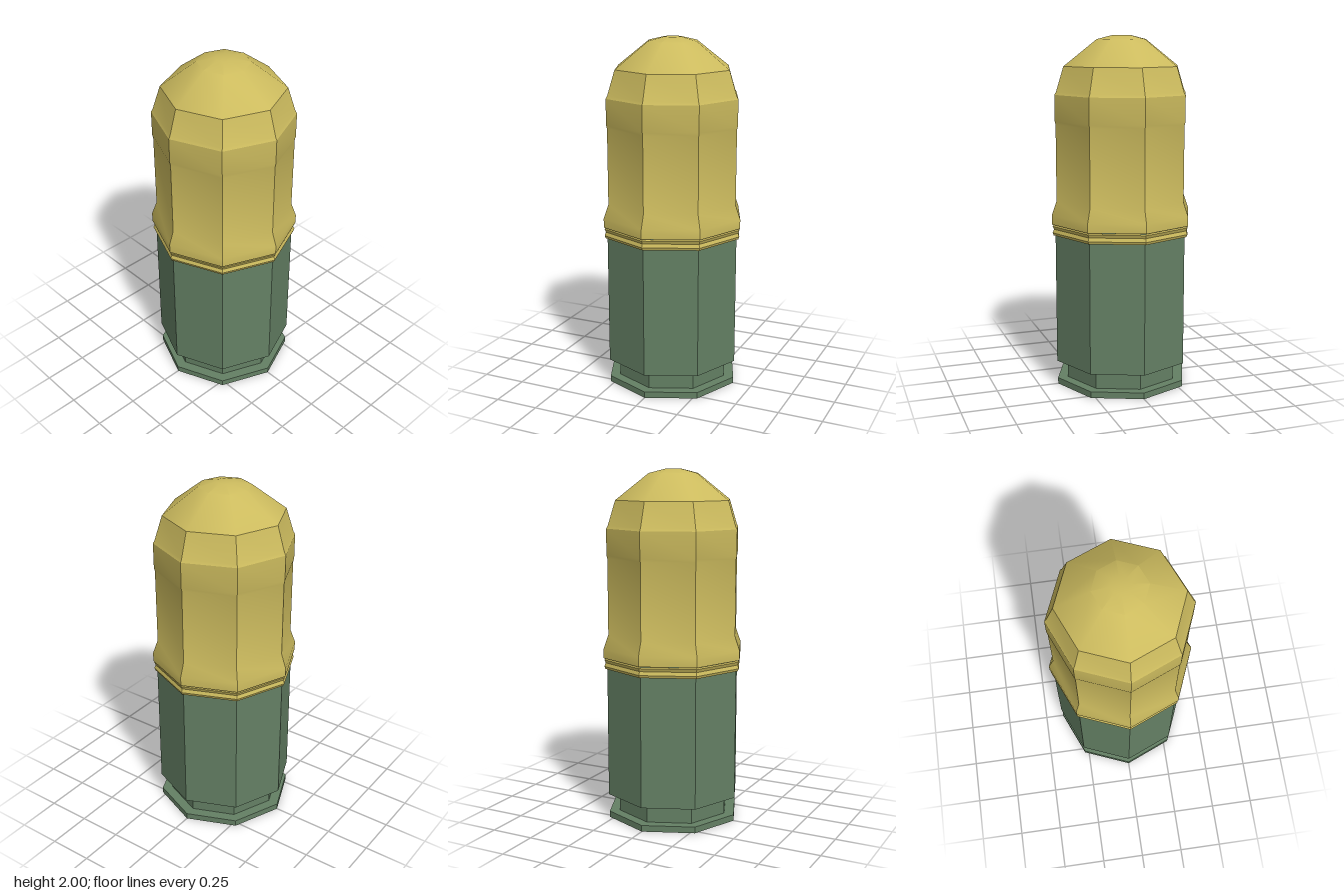
import * as THREE from 'three';
import { toCreasedNormals } from 'three/addons/utils/BufferGeometryUtils.js';

const CREASE = THREE.MathUtils.degToRad(30);

// Eight-sided turned part; profile is [radius, height] from bottom to top.
// Corners between sides stay sharp, gentle changes along the profile are smooth.
function turned(name, profile, material) {
  const points = profile.map(([r, y]) => new THREE.Vector2(r, y));
  const geometry = toCreasedNormals(new THREE.LatheGeometry(points, 8), CREASE);
  const mesh = new THREE.Mesh(geometry, material);
  mesh.name = name;
  return mesh;
}

export function createModel() {
  const brass = new THREE.MeshStandardMaterial({ color: 0xccbb5e });
  const green = new THREE.MeshStandardMaterial({ color: 0x648064 });

  // Case: base rim, extraction groove and main wall
  const casing = new THREE.Group();
  casing.name = 'casing';
  casing.add(
    turned('baseRim', [[0, 0], [0.39, 0], [0.39, 0.036], [0.33, 0.036]], green),
    turned('extractorGroove', [[0.33, 0.036], [0.33, 0.14]], green),
    turned('caseWall', [[0.33, 0.14], [0.394, 0.14], [0.394, 0.89], [0, 0.89]], green),
  );

  // Projectile: driving band, waisted body, tapered shoulder and domed nose
  const projectile = new THREE.Group();
  projectile.name = 'projectile';
  projectile.add(
    turned('drivingBand', [[0.385, 0.885], [0.405, 0.885], [0.411, 0.9], [0.403, 0.92],
      [0.411, 0.938], [0.405, 0.945]], brass),
    turned('body', [[0.4, 0.945], [0.415, 0.948], [0.415, 1.0], [0.386, 1.08],
      [0.386, 1.51], [0.391, 1.53], [0.391, 1.675]], brass),
    turned('shoulder', [[0.391, 1.675], [0.382, 1.69], [0.338, 1.83]], brass),
    turned('nose', [[0.338, 1.83], [0.145, 1.977], [0.05, 2], [0, 2]], brass),
  );

  const model = new THREE.Group();
  model.name = 'cartridge';
  model.add(casing, projectile);
  return model;
}
